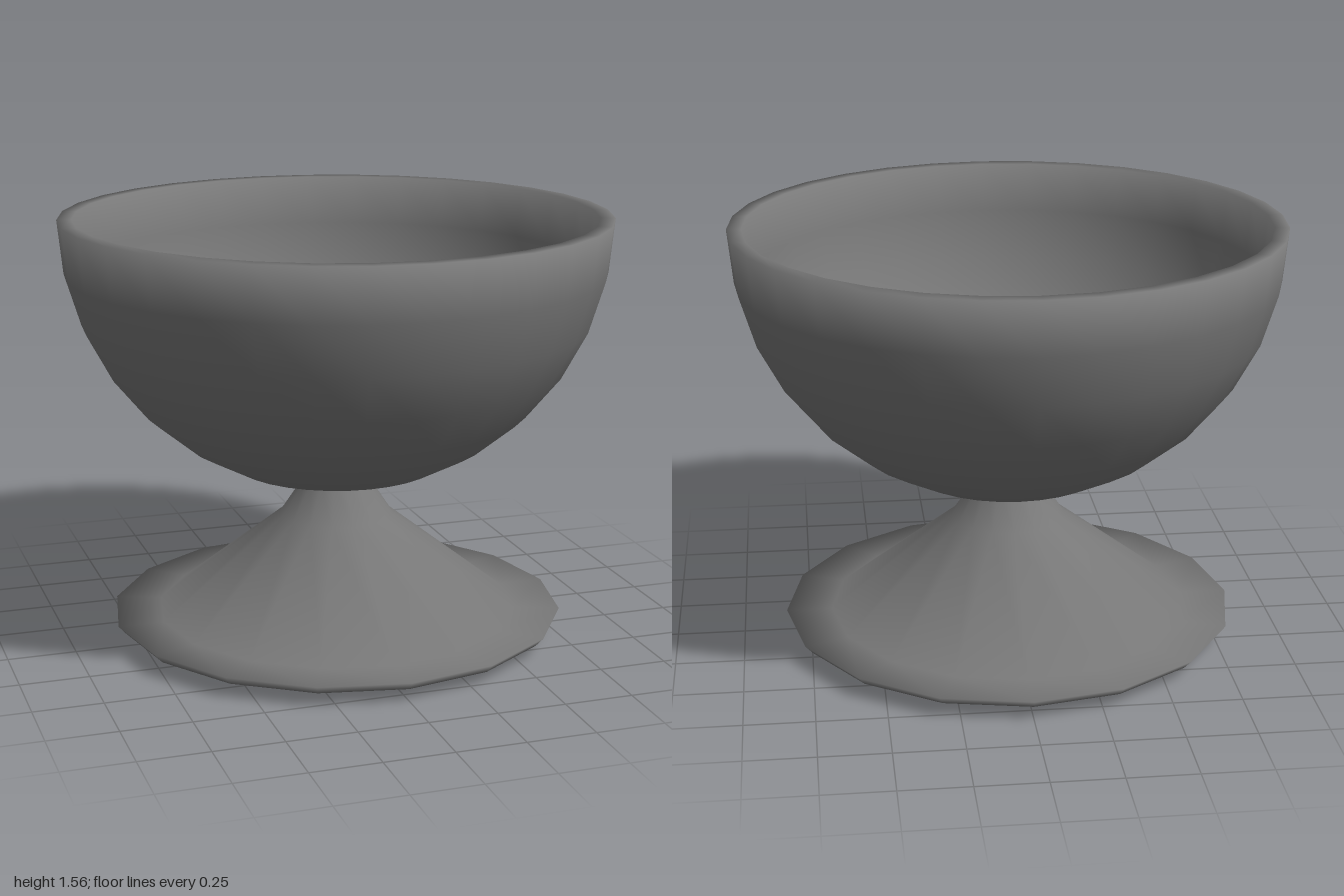
import * as THREE from 'three';

const material = new THREE.MeshStandardMaterial({ color: 0x787878 });

// Turned part from a list of [radius, height] points; each ring's normal
// is the even blend of the two profile segments that meet there
function turned(name, profile, sides) {
  const points = profile.map(([r, y]) => new THREE.Vector2(r, y));
  const geometry = new THREE.LatheGeometry(points, sides);
  const slopes = points.slice(1).map((p, i) => {
    const d = p.clone().sub(points[i]).normalize();
    return new THREE.Vector2(d.y, -d.x);
  });
  const normals = points.map((p, i) => {
    const n = new THREE.Vector2();
    if (i > 0) n.add(slopes[i - 1]);
    if (i < slopes.length) n.add(slopes[i]);
    if (p.x < 1e-6) n.x = 0; // poles point straight along the axis
    return n.normalize();
  });
  for (let s = 0; s <= sides; s++) {
    const a = (s / sides) * Math.PI * 2;
    normals.forEach((n, i) => geometry.attributes.normal.setXYZ(
      s * points.length + i, n.x * Math.sin(a), n.y, n.x * Math.cos(a)));
  }
  const mesh = new THREE.Mesh(geometry, material);
  mesh.name = name;
  return mesh;
}

// Quarter arc from the lowest point of a hemisphere up to its rim
function quarterArc(radius, rimY, steps = 8) {
  return Array.from({ length: steps + 1 }, (_, i) => {
    const a = (i / steps) * Math.PI / 2;
    return [radius * Math.sin(a), rimY - radius * Math.cos(a)];
  });
}

export function createModel() {
  const group = new THREE.Group();
  group.name = 'footedBowl';

  // Thick hemispherical bowl: outside, flat rim, inside
  const rimY = 1.56;
  const bowl = [...quarterArc(1, rimY), ...quarterArc(0.947, rimY).reverse()];
  group.add(turned('bowl', bowl, 32));

  // Hollow conical foot with a flat flange and a rounded-under lip
  const foot = [
    [0.07, 0.57], [0.18, 0.41], [0.70, 0],
    [0.81, 0.045], [0.84, 0.078],
    [0.67, 0.078], [0.21, 0.44], [0.12, 0.575], [0.105, 0.60],
  ];
  group.add(turned('foot', foot, 16));

  return group;
}
